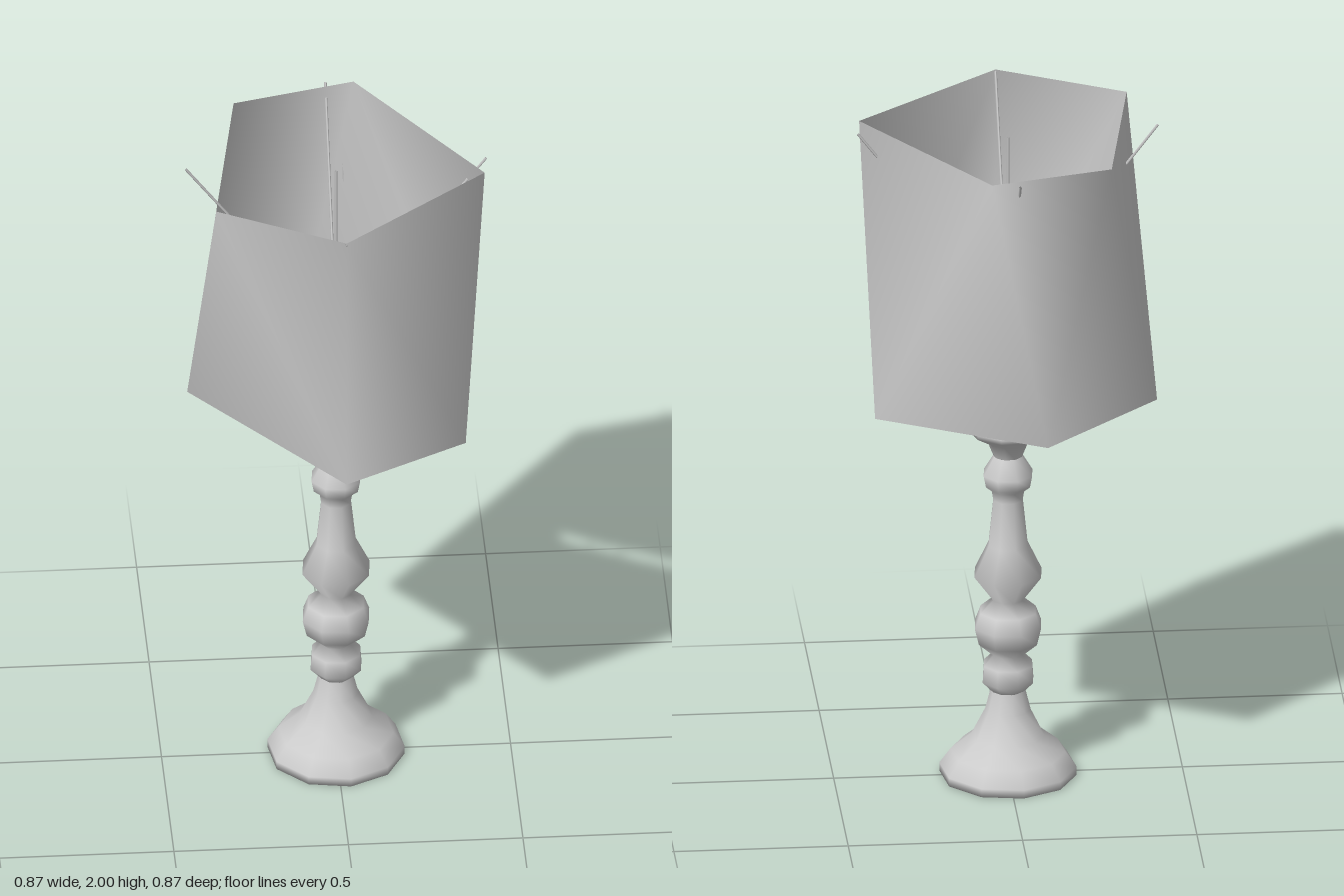
import * as THREE from 'three';

const grey = new THREE.MeshStandardMaterial({ color: 0xcccccc });
grey.name = 'grey';
const greyThin = grey;
greyThin.side = THREE.DoubleSide;

function add(group, name, geometry) {
  const mesh = new THREE.Mesh(geometry, grey);
  mesh.name = name;
  group.add(mesh);
  return mesh;
}

// Turned part from [radius, height] pairs
function turned(profile, sides, turn) {
  const points = profile.map(([r, y]) => new THREE.Vector2(r, y));
  return new THREE.LatheGeometry(points, sides, turn);
}

// Straight thin wire between two points
function wire(a, b, radius) {
  return new THREE.TubeGeometry(new THREE.LineCurve3(a, b), 1, radius, 4);
}

// Skewed five-sided sleeve joining two [x, z] rings
function sleeve(top, bottom, yTop, yBottom) {
  const n = top.length, pos = [], index = [];
  top.forEach(([x, z]) => pos.push(x, yTop, z));
  bottom.forEach(([x, z]) => pos.push(x, yBottom, z));
  for (let i = 0; i < n; i++) {
    const j = (i + 1) % n;
    index.push(n + i, n + j, i, i, n + j, j);
  }
  const g = new THREE.BufferGeometry();
  g.setAttribute('position', new THREE.Float32BufferAttribute(pos, 3));
  g.setIndex(index);
  g.computeVertexNormals();
  return g;
}

export function createModel() {
  const lamp = new THREE.Group();
  lamp.name = 'tableLamp';

  // Flared foot
  add(lamp, 'base', turned([
    [0, 0], [0.197, 0], [0.197, 0.025], [0.165, 0.07], [0.105, 0.12],
    [0.065, 0.2], [0.05, 0.26],
  ], 10, 0.15));

  // Turned column with beads
  add(lamp, 'stem', turned([
    [0.05, 0.26], [0.078, 0.29], [0.074, 0.34], [0.045, 0.37], [0.09, 0.41],
    [0.102, 0.46], [0.085, 0.505], [0.045, 0.54], [0.103, 0.62], [0.06, 0.71],
    [0.045, 0.85], [0.05, 0.88], [0.068, 0.895], [0.075, 0.93], [0.042, 0.985],
  ], 8, 0.3));

  // Dished cap
  add(lamp, 'cap', turned([
    [0.042, 0.985], [0.06, 1.03], [0.113, 1.062], [0.113, 1.08], [0, 1.075],
  ], 9, 0.1));

  // Lampshade, open at both ends
  const topRing = [[0, 0.43], [0.42, 0.085], [0.08, -0.42], [-0.27, -0.33], [-0.36, 0.235]];
  const bottomRing = [[0, 0.43], [0.355, 0.235], [0.395, -0.165], [-0.08, -0.42], [-0.42, -0.09]];
  add(lamp, 'shade', sleeve(topRing, bottomRing, 2, 1.18));

  // Four wires rising from the centre to the rim
  const hub = new THREE.Vector3(0, 1.43, 0);
  for (let i = 0; i < 4; i++) {
    const a = i * Math.PI / 2;
    const tip = new THREE.Vector3(0.43 * Math.sin(a), 1.995, 0.43 * Math.cos(a));
    add(lamp, 'spoke', wire(hub, tip, 0.004));
  }

  // Centre rod with a small flat fin
  add(lamp, 'rod', wire(hub, new THREE.Vector3(0, 1.97, 0), 0.004));
  const fin = new THREE.Shape([
    new THREE.Vector2(-0.032, 1.98), new THREE.Vector2(0, 1.92), new THREE.Vector2(0.032, 1.975),
  ]);
  const finMesh = add(lamp, 'fin', new THREE.ShapeGeometry(fin));
  finMesh.rotation.y = Math.PI / 2;
  finMesh.position.x = 0.02;

  return lamp;
}
